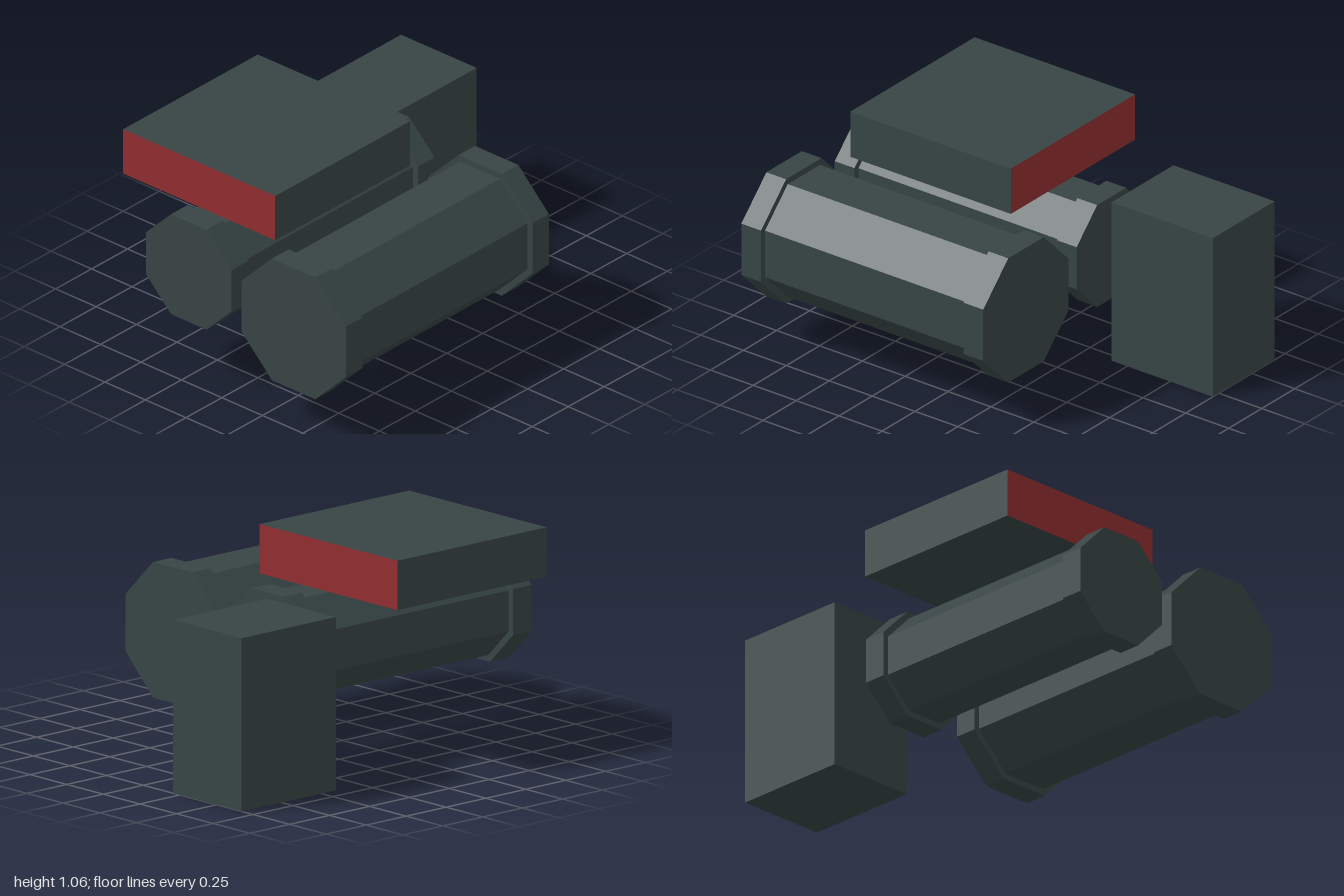
import * as THREE from 'three';

export function createModel() {
  const model = new THREE.Group();
  const slate = new THREE.MeshStandardMaterial({ color: 0x384545, flatShading: true });
  slate.name = 'dark slate';
  const red = new THREE.MeshStandardMaterial({ color: 0x922e30, flatShading: true });
  red.name = 'deep red';

  // Box given by its lower and upper corners
  function box(name, [x0, y0, z0], [x1, y1, z1], material) {
    const mesh = new THREE.Mesh(new THREE.BoxGeometry(x1 - x0, y1 - y0, z1 - z0), material);
    mesh.position.set((x0 + x1) / 2, (y0 + y1) / 2, (z0 + z1) / 2);
    mesh.name = name;
    model.add(mesh);
  }

  // Octagonal prism along x, resting on a flat; half is the centre-to-flat distance
  function octagon(name, half, x0, x1) {
    const r = half / Math.cos(Math.PI / 8);
    const geometry = new THREE.CylinderGeometry(r, r, x1 - x0, 8, 1, false, Math.PI / 8);
    geometry.rotateZ(Math.PI / 2);
    const mesh = new THREE.Mesh(geometry, slate);
    mesh.position.x = (x0 + x1) / 2;
    mesh.name = name;
    return mesh;
  }

  // Tank with a wider collar at each end
  function tank(name, y, z, half) {
    const group = new THREE.Group();
    group.name = name;
    group.position.set(0, y, z);
    group.add(
      octagon('tankBody', half - 0.03, -0.885, 0.295),
      octagon('rightCollar', half, -1, -0.885),
      octagon('leftCollar', half, 0.295, 0.41)
    );
    model.add(group);
  }

  tank('frontTank', 0.532, 0.443, 0.323);
  tank('backTank', 0.59, -0.205, 0.265);

  // Upright block at the left end
  box('sideBlock', [0.41, 0, -0.672], [1, 0.825, -0.205], slate);

  // Top slab with red ends on both x faces
  box('topSlab', [-0.823, 0.825, -0.768], [0.113, 1.06, 0.172],
    [red, red, slate, slate, slate, slate]);

  return model;
}
